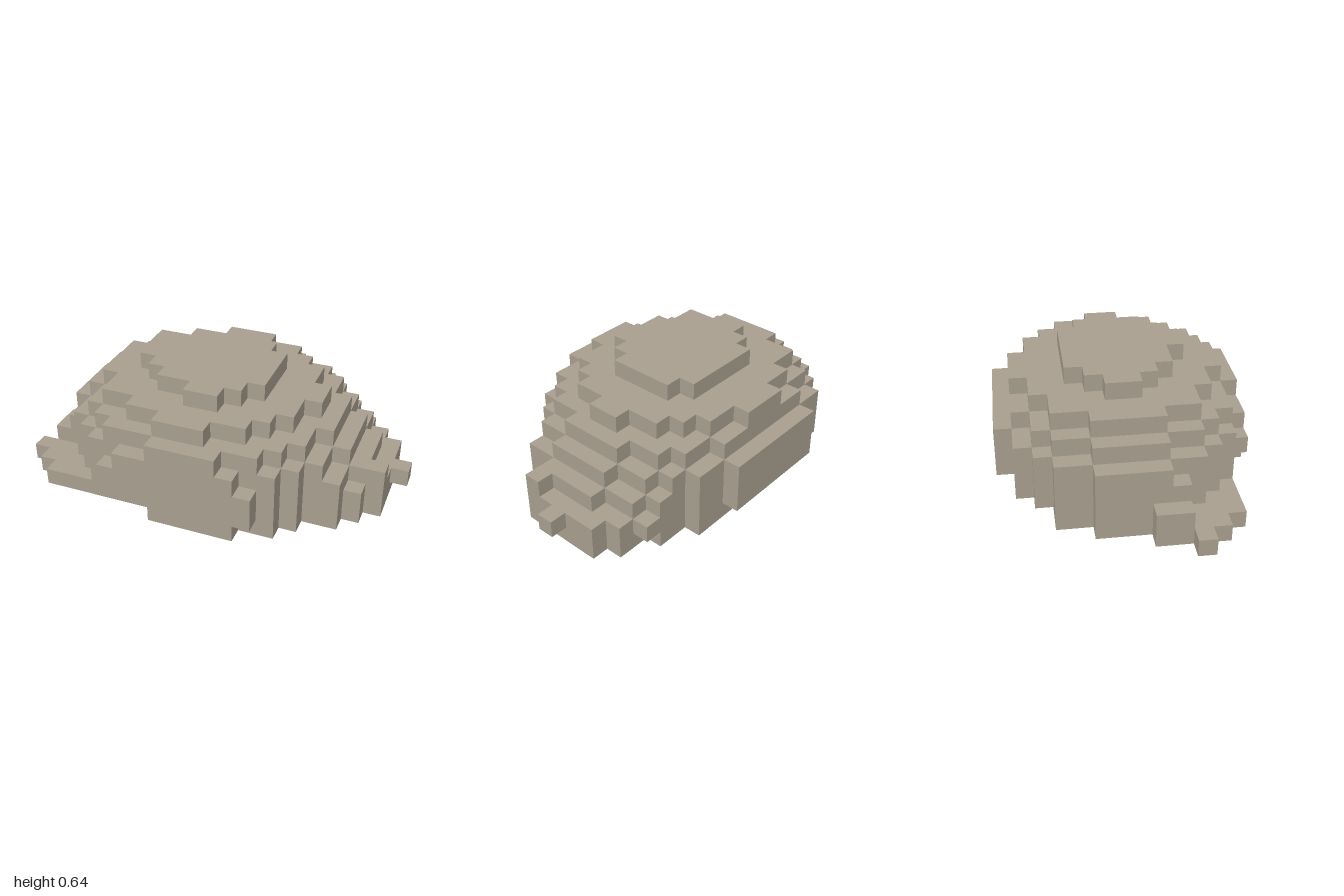
import * as THREE from 'three';

const S = 1 / 11; // edge of one block

// Each layer is a lopsided oval, given by its reach in blocks from the centre axis
const layers = [
  { name: 'baseLayer', left: 10.4, right: 9.1, back: 6.4, front: 6.7 },
  { name: 'lowerLayer', left: 10.3, right: 9.05, back: 7.1, front: 7.1 },
  { name: 'wideLayer', left: 9, right: 9.05, back: 7.1, front: 7.5 },
  { name: 'middleLayer', left: 8, right: 9, back: 7.1, front: 7.1 },
  { name: 'shoulderLayer', left: 7, right: 8, back: 6.2, front: 6.7 },
  { name: 'upperLayer', left: 5.69, right: 7, back: 5.7, front: 5.7 },
  { name: 'topLayer', left: 3.4, right: 4.8, back: 3.1, front: 3.6 },
];

// Snap an oval to whole blocks, one span of x per row of z
function blockRows({ left, right, back, front }) {
  const rows = [];
  for (let z = -7; z < 7; z++) {
    const d = (z + 0.5) / (z < 0 ? back : front);
    if (Math.abs(d) >= 1) continue;
    const k = Math.sqrt(1 - d * d);
    // The left side is trimmed by one slanted facet at the back and one at the front
    const facet = Math.round(Math.min(18.55 + 2.2 * z, 11.2 - 1.2 * z));
    rows.push({ z, x0: -Math.round(right * k), x1: Math.min(Math.round(left * k), facet) });
  }
  return rows;
}

// Walk down one side of the rows and back up the other
function outline(rows) {
  const near = [], far = [];
  rows.forEach(({ z, x0, x1 }, i) => {
    const prev = rows[i - 1], next = rows[i + 1];
    if (prev?.x0 !== x0) near.push(new THREE.Vector2(x0 * S, -z * S));
    if (next?.x0 !== x0) near.push(new THREE.Vector2(x0 * S, -(z + 1) * S));
    if (prev?.x1 !== x1) far.push(new THREE.Vector2(x1 * S, -z * S));
    if (next?.x1 !== x1) far.push(new THREE.Vector2(x1 * S, -(z + 1) * S));
  });
  return new THREE.Shape([...near, ...far.reverse()]);
}

export function createModel() {
  const group = new THREE.Group();
  group.name = 'blockRock';
  const stone = new THREE.MeshStandardMaterial({ color: 0xa89e8f });
  stone.name = 'warm grey stone';

  const add = (name, geometry) => {
    const mesh = new THREE.Mesh(geometry, stone);
    mesh.name = name;
    group.add(mesh);
    return mesh;
  };

  // Stack the stepped layers from the ground up
  layers.forEach((layer, y) => {
    const geometry = new THREE.ExtrudeGeometry(outline(blockRows(layer)), { depth: S, bevelEnabled: false });
    geometry.rotateX(-Math.PI / 2);
    add(layer.name, geometry).position.y = y * S;
  });

  // A box spanning whole blocks between two corners
  const block = (name, [x0, y0, z0], [x1, y1, z1]) => {
    const mesh = add(name, new THREE.BoxGeometry((x1 - x0) * S, (y1 - y0) * S, (z1 - z0) * S));
    mesh.position.set((x0 + x1) / 2, (y0 + y1) / 2, (z0 + z1) / 2).multiplyScalar(S);
  };

  // Low ledge spreading at the front right foot
  block('ledgeFront', [-9, 0, 4], [-3, 1, 6]);
  block('ledgeSide', [-10, 0, 1], [-5, 1, 5]);
  block('ledgeStep', [-10, 1, 1], [-7, 2, 3]);
  block('ledgeTip', [-11, 0, 3], [-9, 1, 4]);

  // Single blocks jutting from the left end
  block('endKnob', [9, 1, -1], [11, 2, 0]);
  block('endStep', [8, 2, 1], [10, 3, 2]);
  return group;
}
